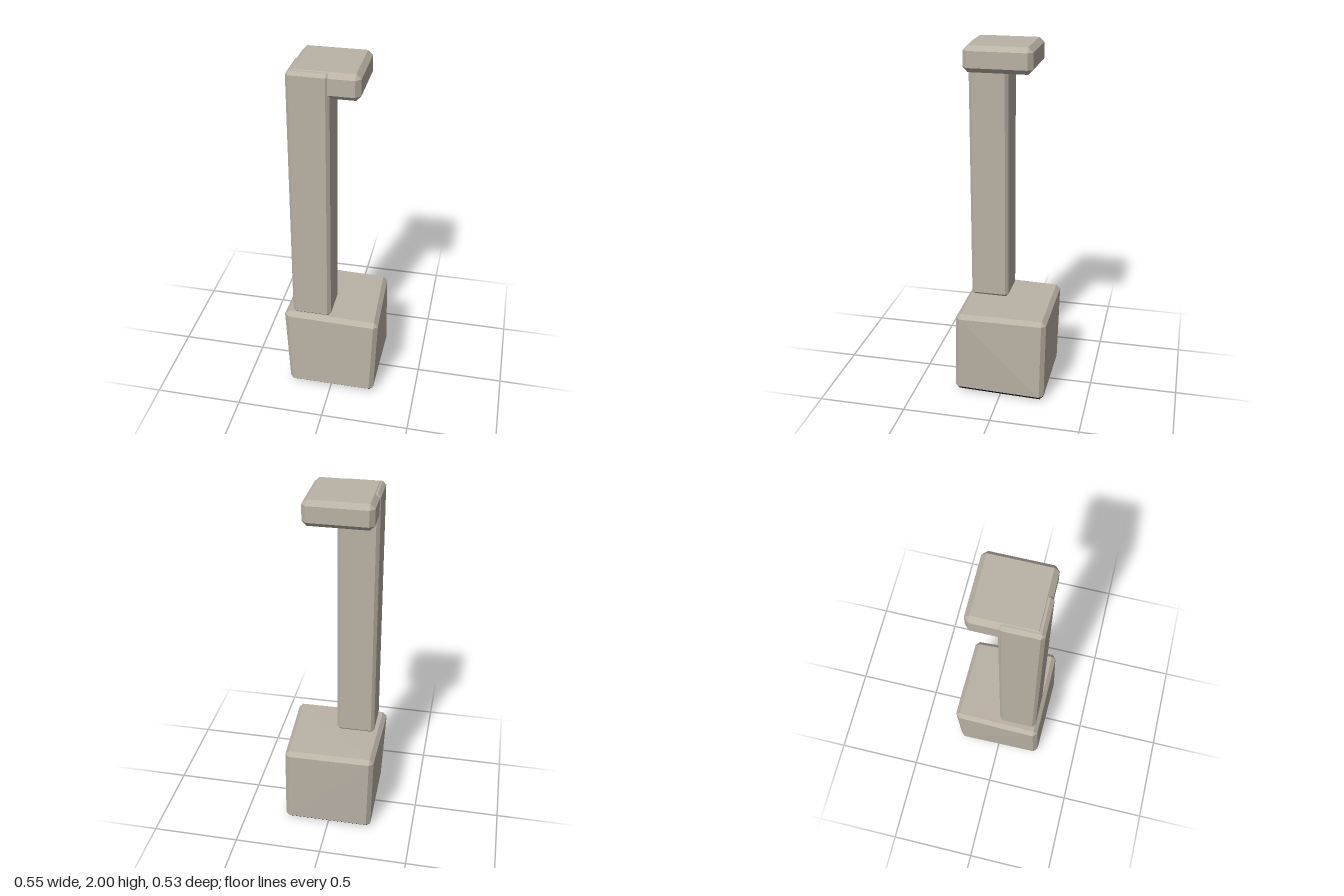
import * as THREE from 'three';
import { ConvexGeometry } from 'three/addons/geometries/ConvexGeometry.js';

const stone = new THREE.MeshStandardMaterial({ color: 0xbab2a5 });
stone.name = 'warm grey stone';
const underside = new THREE.MeshStandardMaterial({ color: 0x141414 });
underside.name = 'black underside';

// Bevelled block from eight corners: each corner becomes three points, one per face
function bevelledBlock(name, corners, bevel, darkBottom = false) {
  const centre = new THREE.Vector3();
  corners.forEach((c) => centre.add(new THREE.Vector3(...c)));
  centre.divideScalar(8);
  const points = [];
  for (const c of corners) {
    for (let face = 0; face < 3; face++) {
      const p = c.map((v, i) => (i === face ? v : v - Math.sign(v - centre.getComponent(i)) * bevel));
      points.push(new THREE.Vector3(...p));
    }
  }
  const geometry = new ConvexGeometry(points);
  // Downward triangles take the second material
  if (darkBottom) {
    const normal = geometry.attributes.normal;
    for (let i = 0; i < normal.count; i += 3) {
      geometry.addGroup(i, 3, normal.getY(i) < -0.4 ? 1 : 0);
    }
  }
  const mesh = new THREE.Mesh(geometry, darkBottom ? [stone, underside] : stone);
  mesh.name = name;
  return mesh;
}

function boxCorners(x0, x1, y0, y1, z0, z1) {
  const out = [];
  for (const x of [x0, x1]) for (const y of [y0, y1]) for (const z of [z0, z1]) out.push([x, y, z]);
  return out;
}

export function createModel() {
  const group = new THREE.Group();
  group.name = 'bracketPost';

  // Slightly skewed footing: top corners, then bottom corners
  group.add(bevelledBlock('footing', [
    [-0.265, 0.508, -0.267], [0.252, 0.5, -0.263], [0.273, 0.51, 0.25], [-0.275, 0.516, 0.247],
    [-0.255, 0, -0.257], [0.261, 0, -0.257], [0.258, 0.012, 0.267], [-0.25, 0.003, 0.258],
  ], 0.024, true));

  // Tall post on one corner
  group.add(bevelledBlock('post', boxCorners(-0.227, -0.005, 0.508, 1.996, 0.005, 0.225), 0.018));

  // Flat cap overhanging to the left and back
  group.add(bevelledBlock('cap', boxCorners(-0.222, 0.15, 1.86, 2, -0.155, 0.217), 0.026));

  return group;
}
